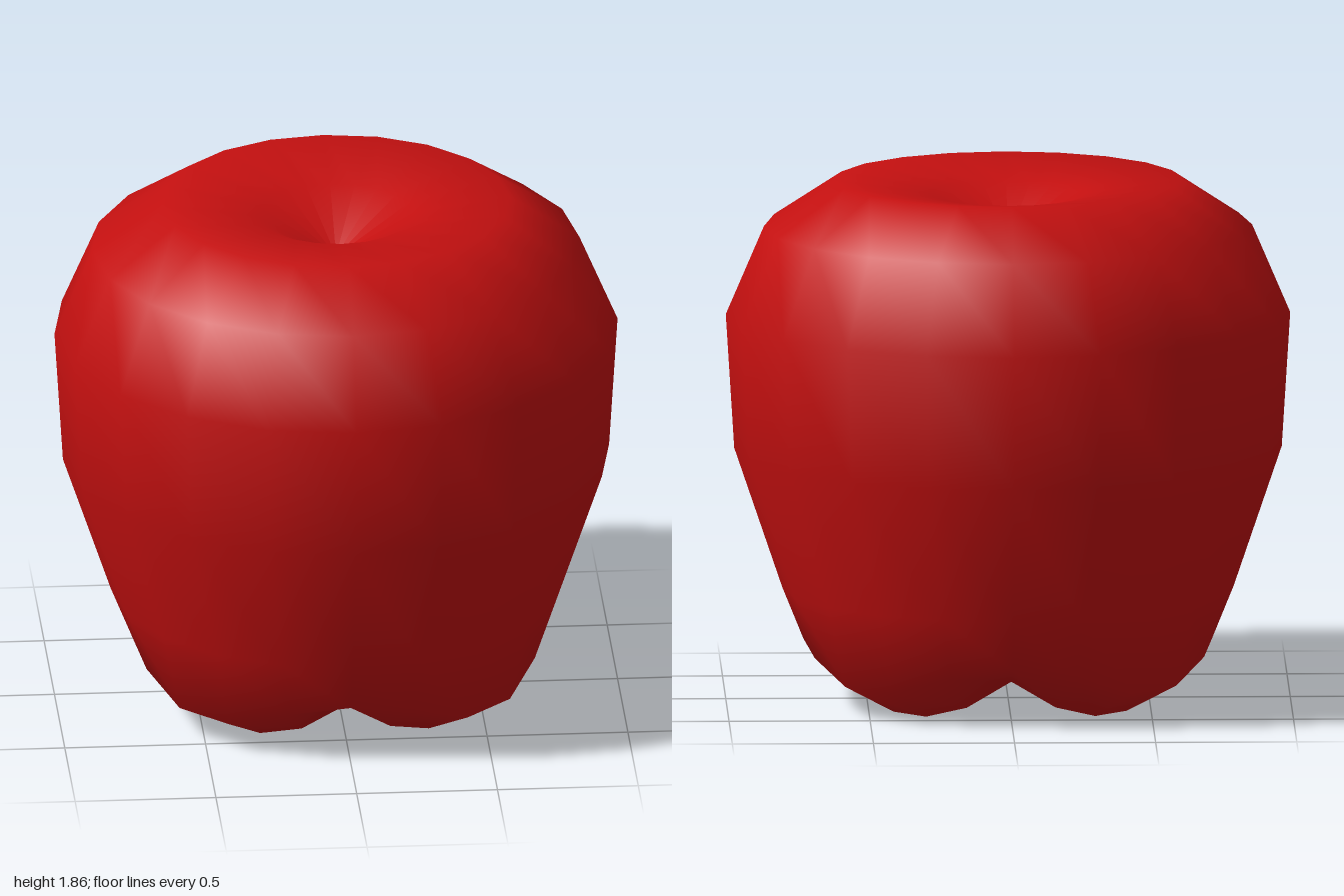
import * as THREE from 'three';
import { mergeVertices } from 'three/addons/utils/BufferGeometryUtils.js';

const SIDES = 20;

// Profile from the bottom dimple, round the outside, to the top dimple: [radius, height].
// The near-zero pole radius keeps the dimple tips crisp.
const PROFILE = [
  [0.001, 0.27], [0.51, 0], [0.725, 0.11], [0.8, 0.4], [0.97, 0.9],
  [1, 1.38], [0.865, 1.695], [0.615, 1.86], [0.28, 1.81], [0.001, 1.65],
];

// Lift of the two lowest rings at 0, 18 and 36 degrees from each notch, giving four lobes.
const LOBE_LIFT = { 1: [0.14, 0.043, 0], 2: [0.105, 0.07, 0] };

function appleGeometry() {
  const points = PROFILE.map(([r, y]) => new THREE.Vector2(r, y));
  const lathe = new THREE.LatheGeometry(points, SIDES);
  const pos = lathe.attributes.position;
  for (let i = 0; i < pos.count; i++) {
    const lift = LOBE_LIFT[i % PROFILE.length];
    if (!lift) continue;
    const step = Math.floor(i / PROFILE.length) % 5;
    pos.setY(i, pos.getY(i) + lift[Math.min(step, 5 - step)]);
  }
  // Weld the seam so the shading runs smoothly all the way round
  lathe.deleteAttribute('uv');
  lathe.deleteAttribute('normal');
  const geometry = mergeVertices(lathe, 1e-4);
  geometry.computeVertexNormals();
  return geometry;
}

export function createModel() {
  const model = new THREE.Group();
  model.name = 'apple';
  const skin = new THREE.MeshStandardMaterial({ color: 0xc41010 });
  const body = new THREE.Mesh(appleGeometry(), skin);
  body.name = 'appleBody';
  model.add(body);
  return model;
}
